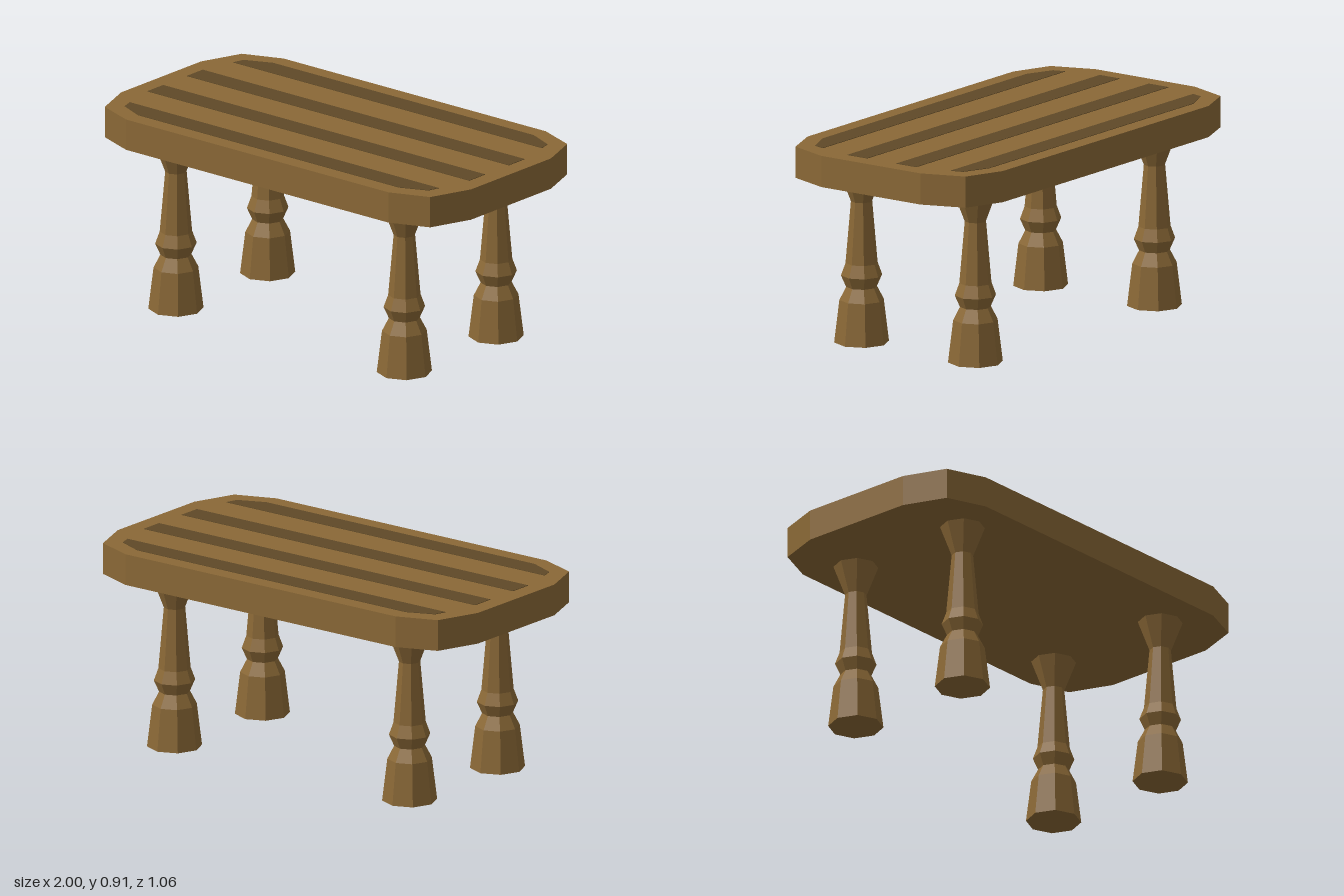
import * as THREE from 'three';

const wood = new THREE.MeshStandardMaterial({ color: 0x8a6836, flatShading: true });
const darkWood = new THREE.MeshStandardMaterial({ color: 0x5f4927, flatShading: true });

const toShape = (points) => new THREE.Shape(points.map(([x, y]) => new THREE.Vector2(x, y)));

// Mirrors a run of corners (ordered from +x end to the long side) across x
const mirrorX = (points) => [...points, ...points.slice().reverse().map(([x, z]) => [-x, z])];

// Flat slab lying in the xz plane with its underside at y
function slab(name, points, y, thickness, material) {
  const geometry = new THREE.ExtrudeGeometry(toShape(points), { depth: thickness, bevelEnabled: false });
  geometry.rotateX(-Math.PI / 2);
  geometry.translate(0, y, 0);
  const mesh = new THREE.Mesh(geometry, material);
  mesh.name = name;
  return mesh;
}

export function createModel() {
  const table = new THREE.Group();
  table.name = 'table';
  const underside = 0.767, topY = 0.907;

  // Table top with faceted corners
  const half = mirrorX([[1, 0.27], [0.93, 0.463], [0.75, 0.532]]);
  const outline = [...half, ...half.map(([x, z]) => [-x, -z])];
  table.add(slab('tableTop', outline, underside, topY - underside, wood));

  // Dark inlaid stripes, the outer pair following the corners
  const inner = mirrorX([[0.92, 0.08], [0.92, 0.187]]);
  const outer = mirrorX([[0.883, 0.349], [0.868, 0.402], [0.745, 0.455]]);
  for (const [name, points] of [['innerStripe', inner], ['outerStripe', outer]]) {
    for (const side of [1, -1]) {
      const turned = points.map(([x, z]) => [side * x, side * z]);
      table.add(slab(name, turned, topY - 0.001, 0.003, darkWood));
    }
  }

  // Four turned, eight-sided legs
  const profile = [
    [0, 0], [0.121, 0], [0.098, 0.19], [0.068, 0.248], [0.091, 0.3],
    [0.071, 0.355], [0.047, 0.632], [0.098, underside], [0, underside],
  ].map(([r, y]) => new THREE.Vector2(r, y));
  const legGeometry = new THREE.LatheGeometry(profile, 8);
  for (const x of [-1, 1]) {
    for (const z of [-1, 1]) {
      const leg = new THREE.Mesh(legGeometry, wood);
      leg.name = (z > 0 ? 'front' : 'back') + (x > 0 ? 'Left' : 'Right') + 'Leg';
      leg.position.set(x * 0.653, 0, z * 0.31);
      table.add(leg);
    }
  }
  return table;
}
